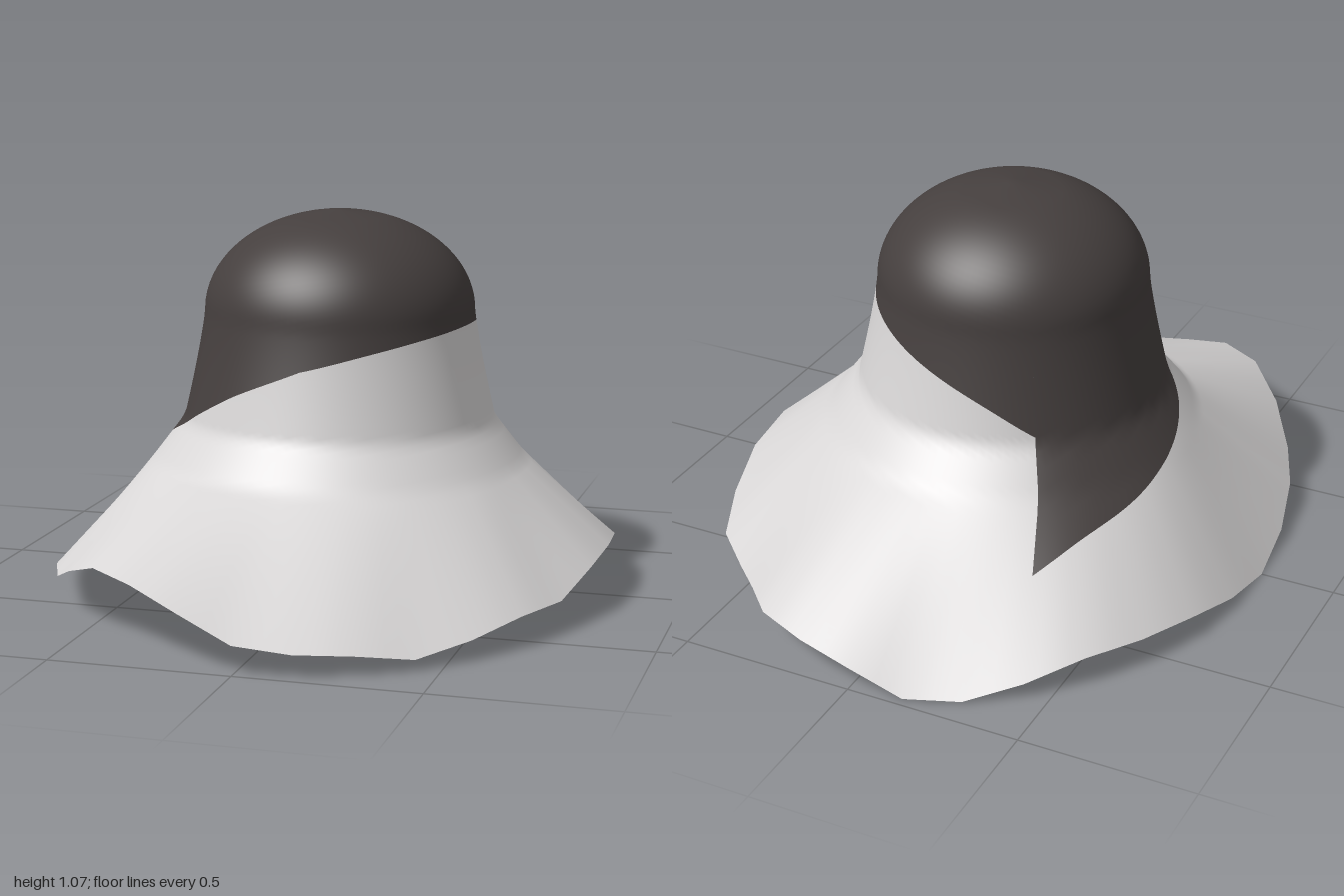
import * as THREE from 'three';

// Height of the wavy brim edge at 32 steps, starting at the front and going to +x
const EDGE = [
  0.08, 0.063, 0.055, 0.03, 0.055, 0.083, 0.083, 0.13,
  0.145, 0.13, 0.083, 0.053, 0.047, 0.075, 0.11, 0.1,
  0.07, 0.005, 0.005, 0.045, 0.085, 0.08, 0.067, 0.03,
  0.0, 0.035, 0.08, 0.093, 0.155, 0.205, 0.195, 0.147,
];
const N = EDGE.length;
const TOP = 1.067, SHOULDER = 0.785, BASE = 0.475, COLLAR = 0.363;
const TAIL = 19; // step at which the dark tail ends abruptly

// Lower limit of the dark colour, as [step, level] on either side of the tail
const curve = (pts) => new THREE.CubicInterpolant(pts.map((p) => p[0]), pts.map((p) => p[1]), 1);
const crownLine = curve([[0, 0.67], [2.6, 0.72], [5, 0.75], [8, 0.762], [11, 0.737],
  [13.5, 0.695], [16, 0.63], [17.5, 0.575], [19, 0.5]]);
const tailLine = curve([[19, 0.21], [20.2, 0.265], [21.7, 0.316], [22.8, 0.355], [24.3, 0.4],
  [25.8, 0.445], [26.9, 0.485], [28.2, 0.535], [29.5, 0.587], [32, 0.67]]);

const lerp = THREE.MathUtils.lerp;

function edgeNode(i) {
  const k = ((i % N) + N) % N, a = (k / N) * Math.PI * 2;
  const dent = k === 12 || k === 13 ? 0.953 : 1;
  return new THREE.Vector3(0.785 * dent * Math.sin(a), EDGE[k], dent * Math.cos(a));
}

// Point of the hat at step u around it and nominal level (TOP at the crown, 0 at the brim edge)
function hatPoint(u, level) {
  const a = (u / N) * Math.PI * 2, s = Math.sin(a), c = Math.cos(a);
  if (level >= BASE) {
    let r;
    if (level > SHOULDER) {
      const t = (level - SHOULDER) / (TOP - SHOULDER);
      r = 0.384 * Math.sqrt(Math.max(0, 1 - t * t));
    } else {
      r = 0.384 + 0.061 * Math.pow((SHOULDER - level) / (SHOULDER - BASE), 1.2);
    }
    return new THREE.Vector3(r * s, level, r * c);
  }
  if (level >= COLLAR) {
    const t = (BASE - level) / (BASE - COLLAR);
    return new THREE.Vector3(lerp(0.445, 0.53, t) * s, level, lerp(0.445, 0.54, t) * c);
  }
  const i = Math.floor(u);
  const rim = edgeNode(i).lerp(edgeNode(i + 1), u - i);
  return new THREE.Vector3(0.53 * s, COLLAR, 0.54 * c).lerp(rim, 1 - level / COLLAR);
}

// Smooth outward normal from neighbouring points
function hatNormal(u, level) {
  if (level > TOP - 1e-5) return new THREE.Vector3(0, 1, 0);
  const down = hatPoint(u, Math.max(0, level - 0.02)).sub(hatPoint(u, Math.min(TOP, level + 0.02)));
  const around = hatPoint(u + 0.6, level).sub(hatPoint(u - 0.6, level));
  return down.cross(around).normalize();
}

// Sheet between two levels; levelAt(t, limit) gives the level of each row
function sheet(rows, levelAt) {
  const columns = [];
  for (let k = 0; k <= TAIL * 4; k++) columns.push([k / 4, crownLine.evaluate(k / 4)[0]]);
  for (let k = TAIL * 4; k <= N * 4; k++) columns.push([k / 4, tailLine.evaluate(k / 4)[0]]);
  const position = [], normal = [], index = [];
  columns.forEach(([u, limit], c) => {
    for (let r = 0; r <= rows; r++) {
      const level = levelAt(r / rows, limit);
      position.push(...hatPoint(u, level).toArray());
      normal.push(...hatNormal(u, level).toArray());
    }
    if (c === 0 || columns[c - 1][0] === u) return; // no faces across the tail's straight end
    for (let r = 0; r < rows; r++) {
      const a = (c - 1) * (rows + 1) + r, d = a + rows + 1;
      index.push(a, a + 1, d + 1, a, d + 1, d);
    }
  });
  const g = new THREE.BufferGeometry();
  g.setAttribute('position', new THREE.Float32BufferAttribute(position, 3));
  g.setAttribute('normal', new THREE.Float32BufferAttribute(normal, 3));
  g.setIndex(index);
  return g;
}

export function createModel() {
  const dark = new THREE.MeshStandardMaterial({ color: 0x453f3e, side: THREE.DoubleSide });
  dark.name = 'dark felt';
  const light = new THREE.MeshStandardMaterial({ color: 0xd9d7d7, side: THREE.DoubleSide });
  light.name = 'light felt';

  // Dark crown with its tail sweeping on to the brim
  const crown = new THREE.Mesh(
    sheet(32, (t, limit) => limit + (TOP - limit) * Math.cos(t * Math.PI / 2)), dark);
  crown.name = 'crown';

  // Light lower crown and wavy brim
  const brim = new THREE.Mesh(sheet(36, (t, limit) => limit * (1 - t)), light);
  brim.name = 'brim';

  const hat = new THREE.Group();
  hat.name = 'hat';
  hat.add(crown, brim);
  return hat;
}
